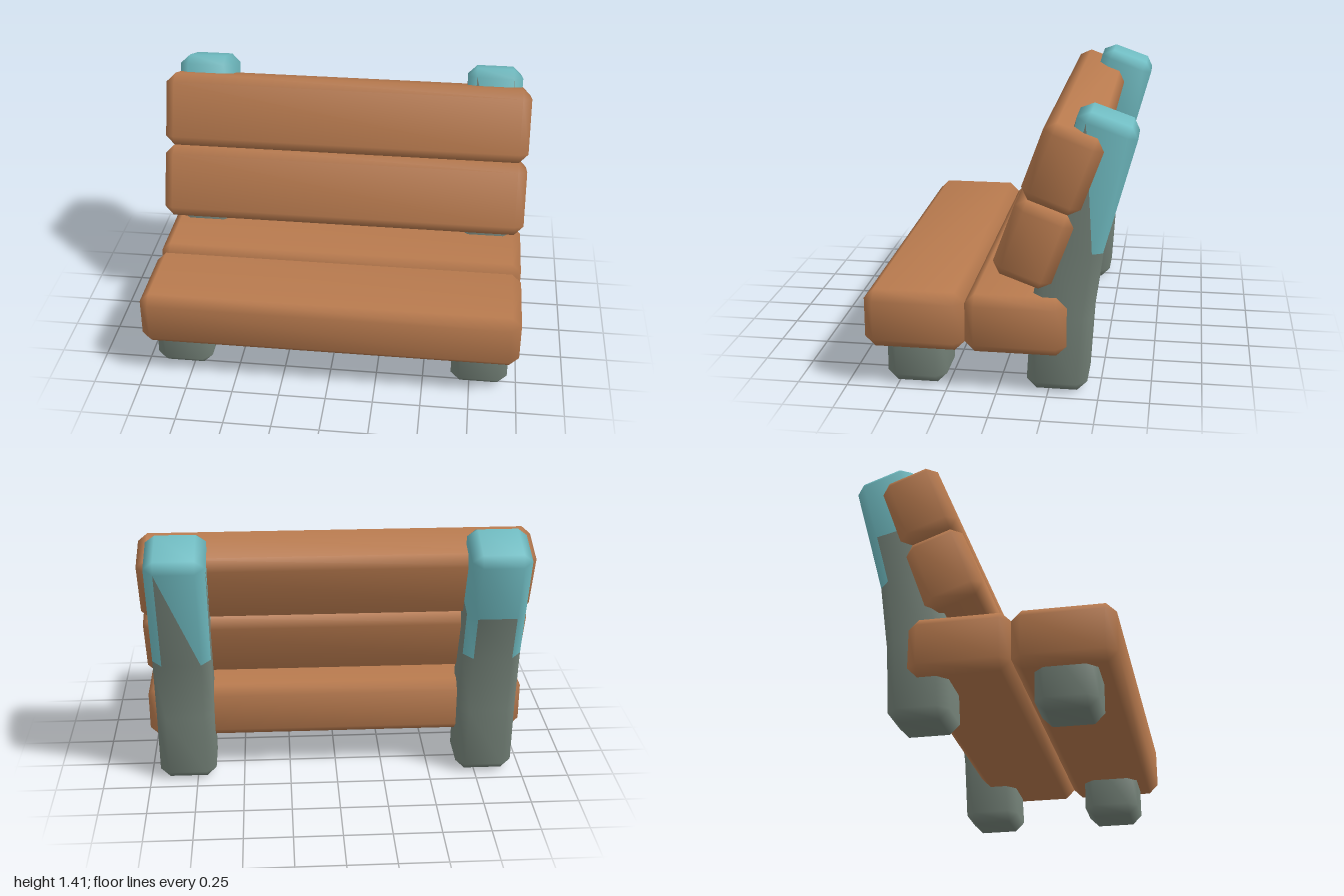
import * as THREE from 'three';

const wood = new THREE.MeshStandardMaterial({ color: 0xb87a4e });
const stone = new THREE.MeshStandardMaterial({ color: 0x77857b });
const teal = new THREE.MeshStandardMaterial({ color: 0x70bcc2 });
const deg = Math.PI / 180;

// Eight points of a rectangle with cut corners, tilted about x
function ring({ y, z = 0, hx, hz, c = 0.05, tilt = 0 }) {
  const a = hx - c, b = hz - c, t = tilt * deg;
  return [[a, hz], [hx, b], [hx, -b], [a, -hz], [-a, -hz], [-hx, -b], [-hx, b], [-a, hz]]
    .map(([px, pz]) => [px, y + pz * Math.sin(t), z + pz * Math.cos(t)]);
}

// Smooth skin over a stack of sections; isPainted(segment, face, triangle)
// sorts the triangles into two meshes that share their normals
function loft(name, sections, material, isPainted = () => false, paint = null) {
  const ids = new Map(), positions = [], plain = [], painted = [];
  const rings = sections.map((s) => ring(s).map((p) => {
    const key = p.map((v) => v.toFixed(5)).join();
    if (!ids.has(key)) {
      ids.set(key, ids.size);
      positions.push(...p);
    }
    return ids.get(key);
  }));
  const add = (a, b, c, flag) => {
    if (a !== b && b !== c && c !== a) (flag ? painted : plain).push(a, b, c);
  };
  const last = rings.length - 1;
  for (let s = 0; s < last; s++) {
    for (let k = 0; k < 8; k++) {
      const n = (k + 1) % 8;
      const A = rings[s][k], B = rings[s][n], C = rings[s + 1][n], D = rings[s + 1][k];
      add(A, B, D, isPainted(s, k, 0));
      add(B, C, D, isPainted(s, k, 1));
    }
  }
  // end caps
  for (let k = 1; k < 7; k++) {
    add(rings[0][0], rings[0][k + 1], rings[0][k], false);
    add(rings[last][0], rings[last][k], rings[last][k + 1], isPainted(last, k, 0));
  }
  const geometry = new THREE.BufferGeometry();
  geometry.setAttribute('position', new THREE.Float32BufferAttribute(positions, 3));
  geometry.setIndex([...plain, ...painted]);
  geometry.computeVertexNormals();

  const group = new THREE.Group();
  group.name = name;
  const part = (index, mat, label) => {
    if (!index.length) return;
    const g = geometry.clone();
    g.setIndex(index);
    const mesh = new THREE.Mesh(g, mat);
    mesh.name = label;
    group.add(mesh);
  };
  part(plain, material, name + 'Body');
  part(painted, paint, name + 'PaintedTop');
  return group;
}

// Box with every edge bevelled, centred on the origin
function bevelBox(name, w, h, d, material, c = 0.05) {
  const hx = w / 2, hy = h / 2, hz = d / 2;
  const cap = { hx: hx - c, hz: hz - c, c: 0 };
  return loft(name, [
    { y: -hy, ...cap }, { y: -hy + c, hx, hz, c }, { y: hy - c, hx, hz, c }, { y: hy, ...cap },
  ], material);
}

export function createModel() {
  const bench = new THREE.Group();
  bench.name = 'bench';

  // Seat planks
  [['frontSeatPlank', 0.41], ['rearSeatPlank', -0.09]].forEach(([name, z]) => {
    const plank = bevelBox(name, 2, 0.3, 0.5, wood);
    plank.position.set(0, 0.35, z);
    bench.add(plank);
  });

  // Leaning backrest planks
  [['lowerBackPlank', 0.766, -0.175], ['upperBackPlank', 1.14, -0.311]].forEach(([name, y, z]) => {
    const plank = bevelBox(name, 2, 0.4, 0.3, wood);
    plank.position.set(0, y, z);
    plank.rotation.x = -20 * deg;
    bench.add(plank);
  });

  // Short front legs
  [['leftFrontLeg', 0.8], ['rightFrontLeg', -0.8]].forEach(([name, x]) => {
    const leg = bevelBox(name, 0.3, 0.4, 0.3, stone);
    leg.position.set(x, 0.2, 0.41);
    bench.add(leg);
  });

  // Bent rear posts with painted tops
  const lower = [
    { y: 0, z: -0.29, hx: 0.1, hz: 0.1, c: 0 },
    { y: 0.05, z: -0.29, hx: 0.15, hz: 0.15 },
    { y: 0.4, z: -0.31, hx: 0.15, hz: 0.15, tilt: 4 },
    { y: 0.746, z: -0.357, hx: 0.15, hz: 0.15, tilt: 10 },
  ];
  const middle = { y: 1.01, z: -0.427, hx: 0.15, hz: 0.15, tilt: 14 };
  const upper = [
    { y: 1.33, z: -0.513, hx: 0.15, hz: 0.151, tilt: 19.3 },
    { y: 1.373, z: -0.533, hx: 0.1, hz: 0.1, c: 0, tilt: 19.3 },
  ];
  const rearBevel = (face) => face === 2 || face === 4;

  // left post: the paint runs down in slanted wedges
  const left = loft('leftRearPost', [...lower, ...upper], stone,
    (s, face, tri) => s > 3 || (s === 3 && (tri === 1 || rearBevel(face))), teal);
  left.position.x = 0.8;

  // right post: level paint line with strips down the rear bevels
  const right = loft('rightRearPost', [...lower, middle, ...upper], stone,
    (s, face) => s > 3 || (s === 3 && rearBevel(face)), teal);
  right.position.x = -0.8;

  bench.add(left, right);
  return bench;
}
